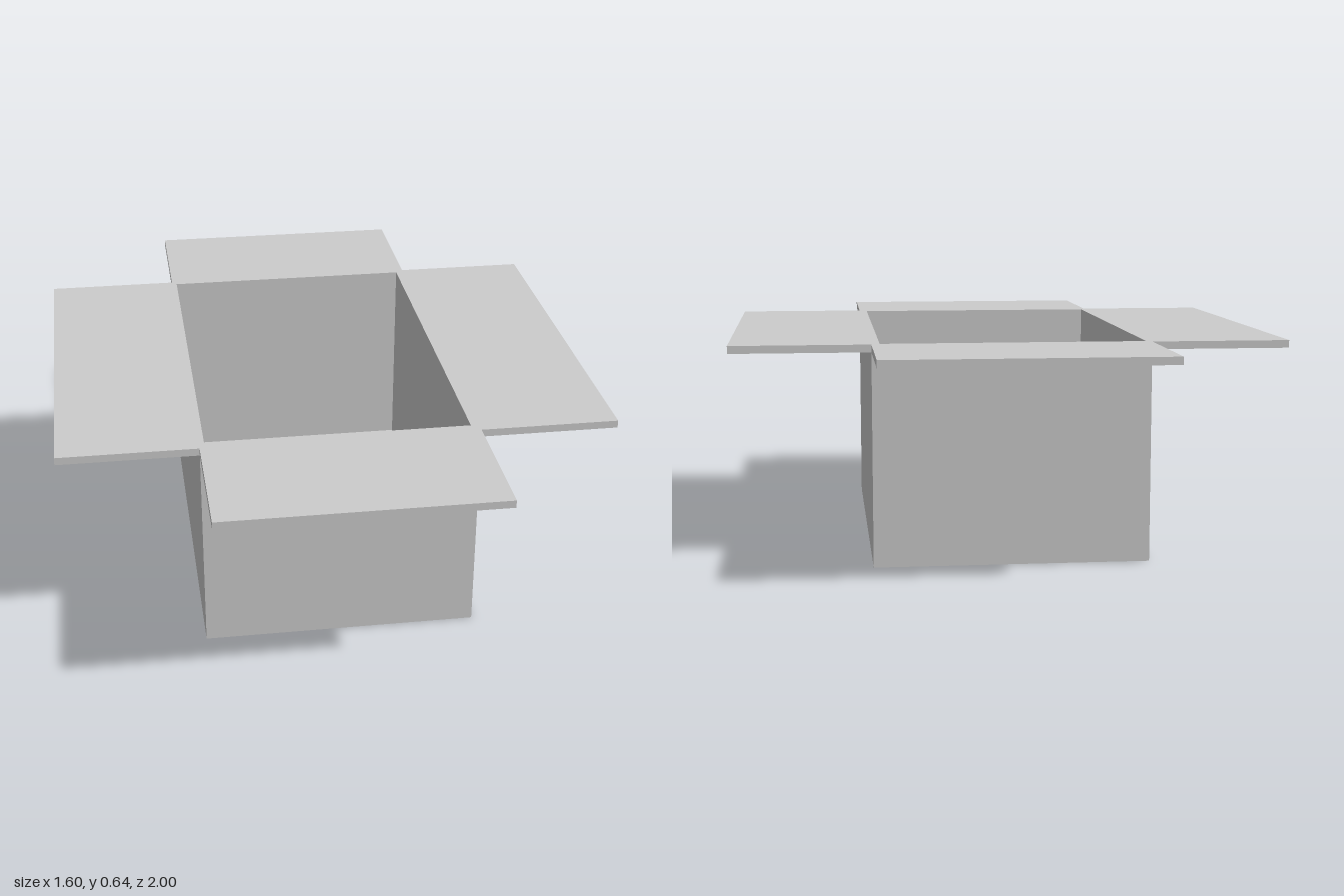
import * as THREE from 'three';

const material = new THREE.MeshStandardMaterial({ color: 0xcccccc, flatShading: true });
const HEIGHT = 0.64, HALF_X = 0.4, HALF_Z = 0.6, FLAP = 0.4, THICK = 0.022;
// Inner faces of the walls; the cavity sits slightly off centre
const IN = { x0: -0.385, x1: 0.376, z0: -0.583, z1: 0.569 };

function addBox(group, name, size, position) {
  const mesh = new THREE.Mesh(new THREE.BoxGeometry(...size), material);
  mesh.name = name;
  mesh.position.set(...position);
  group.add(mesh);
}

function rectangle(path, x0, x1, z0, z1) {
  // Counter-clockwise; shape y becomes -z once the extrusion is stood upright
  path.moveTo(x0, -z1).lineTo(x1, -z1).lineTo(x1, -z0).lineTo(x0, -z0).closePath();
  return path;
}

export function createModel() {
  const box = new THREE.Group();
  box.name = 'openBox';

  // Four walls as one rectangular tube
  const outline = rectangle(new THREE.Shape(), -HALF_X, HALF_X, -HALF_Z, HALF_Z);
  outline.holes.push(rectangle(new THREE.Path(), IN.x0, IN.x1, IN.z0, IN.z1));
  const wallGeometry = new THREE.ExtrudeGeometry(outline, { depth: HEIGHT, bevelEnabled: false });
  wallGeometry.rotateX(-Math.PI / 2);
  const walls = new THREE.Mesh(wallGeometry, material);
  walls.name = 'walls';
  box.add(walls);

  // Floor closing the tube
  addBox(box, 'floor', [IN.x1 - IN.x0, THICK, IN.z1 - IN.z0],
    [(IN.x0 + IN.x1) / 2, THICK / 2, (IN.z0 + IN.z1) / 2]);

  // Flaps folded out flat, level with the rim
  const y = HEIGHT - THICK / 2;
  for (const side of [-1, 1]) {
    addBox(box, side > 0 ? 'leftFlap' : 'rightFlap', [FLAP, THICK, 2 * HALF_Z],
      [side * (HALF_X + FLAP / 2), y, 0]);
    addBox(box, side > 0 ? 'frontFlap' : 'backFlap', [2 * HALF_X, THICK, FLAP],
      [0, y, side * (HALF_Z + FLAP / 2)]);
  }
  return box;
}
